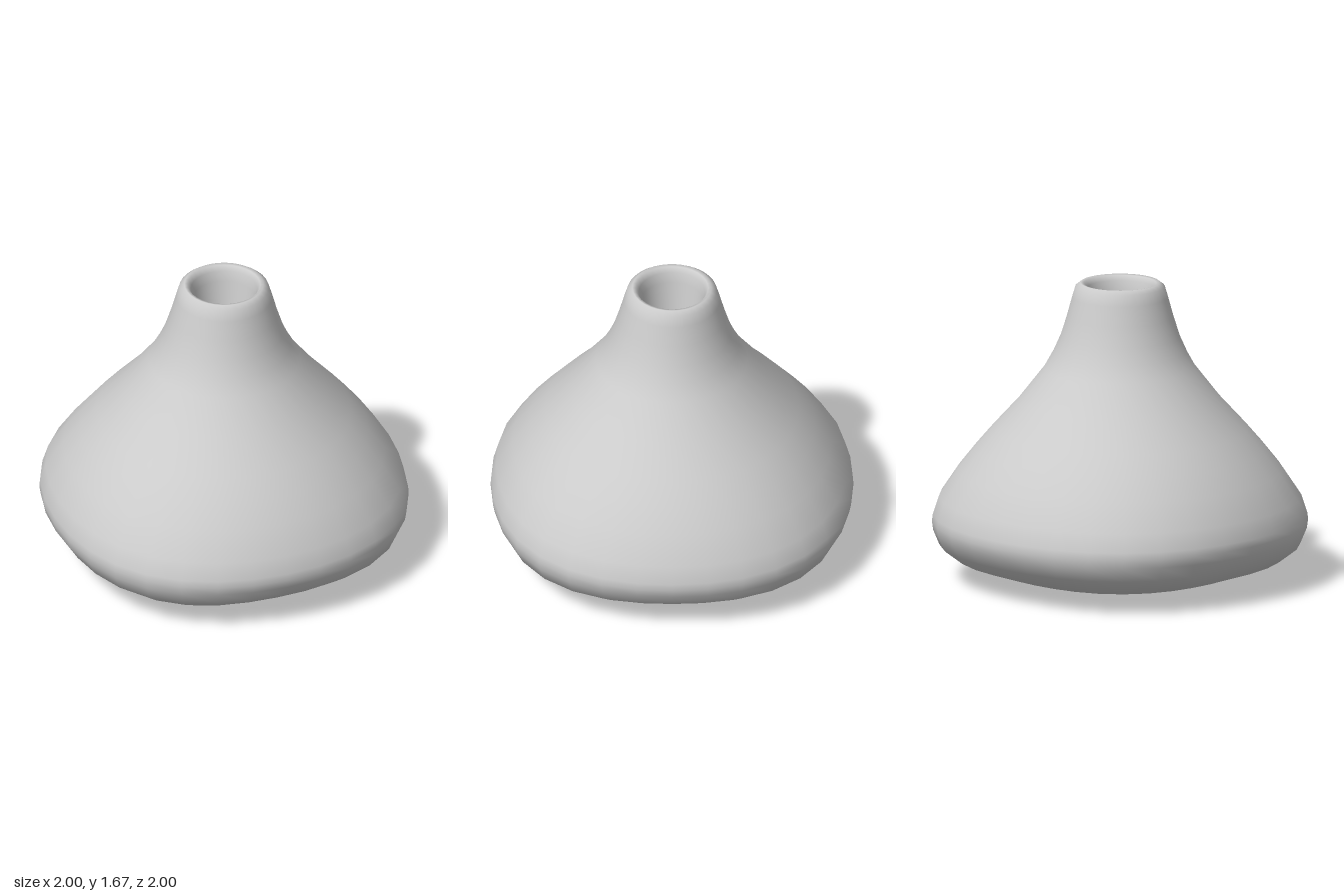
import * as THREE from 'three';
import { mergeVertices } from 'three/addons/utils/BufferGeometryUtils.js';

// Profile from the base centre, up the outside, over the lip and down the bore.
// Each row: radius, height, how far the diagonal corners swell (softly square section)
const PROFILE = [
  [0, 0, 0], [0.25, 0.01, 0.02], [0.48, 0.03, 0.04], [0.68, 0.07, 0.06],
  [0.84, 0.125, 0.07], [0.94, 0.2, 0.06], [0.99, 0.28, 0.04], [1, 0.33, 0.037],
  [0.997, 0.37, 0.035], [0.97, 0.47, 0.03], [0.88, 0.62, 0.02], [0.79, 0.74, 0.015],
  [0.7, 0.85, 0.01], [0.56, 1.01, 0], [0.42, 1.19, 0], [0.37, 1.28, 0],
  [0.33, 1.37, 0], [0.295, 1.48, 0], [0.265, 1.59, 0], [0.247, 1.65, 0],
  [0.218, 1.672, 0], [0.2, 1.668, 0], [0.183, 1.64, 0], [0.172, 1.58, 0],
  [0.155, 1.45, 0], [0.1, 1.1, 0], [0.04, 0.78, 0], [0.02, 0.75, 0], [0, 0.745, 0],
];

function bodyGeometry() {
  const points = PROFILE.map(([r, y]) => new THREE.Vector2(r, y));
  const geometry = new THREE.LatheGeometry(points, 32);
  const pos = geometry.attributes.position;
  // Swell the section towards its four diagonals
  for (let i = 0; i < pos.count; i++) {
    const swell = PROFILE[i % PROFILE.length][2];
    const angle = Math.atan2(pos.getZ(i), pos.getX(i));
    const k = 1 + swell * (1 - Math.cos(4 * angle)) / 2;
    pos.setX(i, pos.getX(i) * k);
    pos.setZ(i, pos.getZ(i) * k);
  }
  // Weld the seam and poles for smooth shading
  geometry.deleteAttribute('uv');
  geometry.deleteAttribute('normal');
  const welded = mergeVertices(geometry, 1e-4);
  welded.computeVertexNormals();
  return welded;
}

export function createModel() {
  const group = new THREE.Group();
  group.name = 'vase';
  const material = new THREE.MeshStandardMaterial({ color: 0xcccccc, side: THREE.DoubleSide });
  const body = new THREE.Mesh(bodyGeometry(), material);
  body.name = 'vaseBody';
  group.add(body);
  return group;
}
